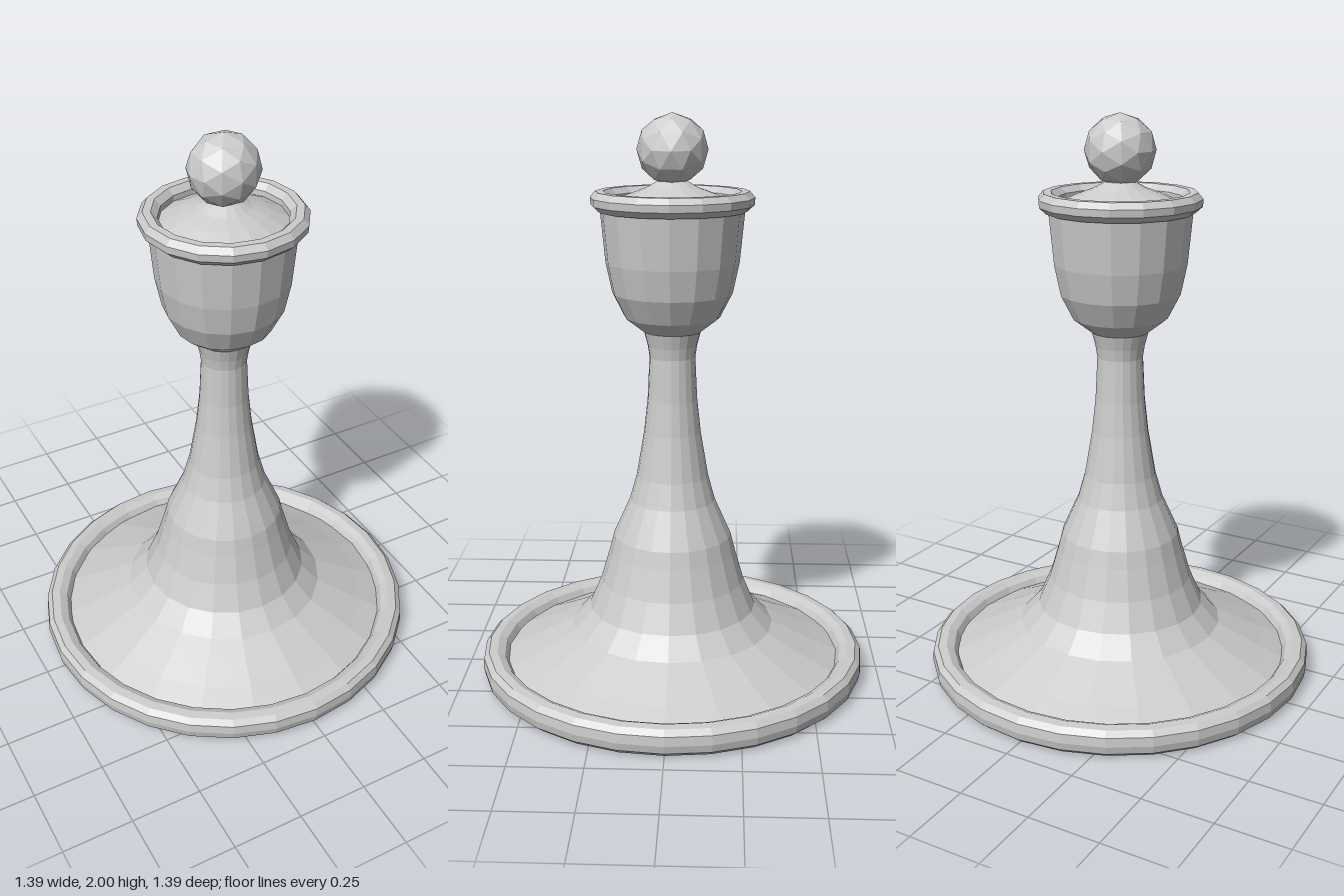
import * as THREE from 'three';

const material = new THREE.MeshStandardMaterial({ color: 0xcccccc, flatShading: true });

// Faceted turned part from a [radius, height] profile, listed from bottom to top
function turned(name, profile, sides) {
  const points = profile.map(([r, y]) => new THREE.Vector2(r, y));
  const mesh = new THREE.Mesh(new THREE.LatheGeometry(points, sides), material);
  mesh.name = name;
  return mesh;
}

export function createModel() {
  const group = new THREE.Group();
  group.name = 'chessPiece';

  // Rounded ring around the foot
  group.add(turned('baseRim', [
    [0.598, 0.045], [0.608, 0.018], [0.635, 0.003], [0.665, 0.003], [0.687, 0.022],
    [0.693, 0.05], [0.69, 0.082], [0.672, 0.1], [0.642, 0.103], [0.615, 0.09],
    [0.6, 0.065], [0.598, 0.045],
  ], 28));

  // Flat underside, slightly recessed inside the ring
  group.add(turned('baseUnderside', [[0, 0.038], [0.61, 0.038]], 28));

  // Flared skirt, shoulder and slender stem in one sweep
  group.add(turned('stem', [
    [0.61, 0.065], [0.53, 0.1], [0.365, 0.18], [0.3, 0.25], [0.257, 0.35],
    [0.225, 0.46], [0.21, 0.52], [0.152, 0.65], [0.127, 0.74], [0.1, 0.9],
    [0.087, 1.02], [0.08, 1.17], [0.086, 1.21], [0.1, 1.265],
  ], 20));

  // Cup-shaped head
  group.add(turned('cup', [
    [0, 1.255], [0.1, 1.26], [0.165, 1.31], [0.208, 1.395], [0.23, 1.5],
    [0.248, 1.69],
  ], 16));

  // Lip around the top of the cup
  group.add(turned('cupRim', [
    [0.212, 1.69], [0.23, 1.675], [0.255, 1.674], [0.278, 1.695], [0.28, 1.72],
    [0.262, 1.741], [0.235, 1.741], [0.214, 1.72], [0.212, 1.69],
  ], 16));

  // Domed lid leading up to the finial
  group.add(turned('lid', [
    [0.225, 1.695], [0.15, 1.73], [0.09, 1.752], [0.05, 1.775], [0.04, 1.8],
  ], 16));

  // Faceted ball finial
  const finial = new THREE.Mesh(new THREE.IcosahedronGeometry(0.121, 1), material);
  finial.name = 'finial';
  finial.position.y = 1.879;
  group.add(finial);

  return group;
}
